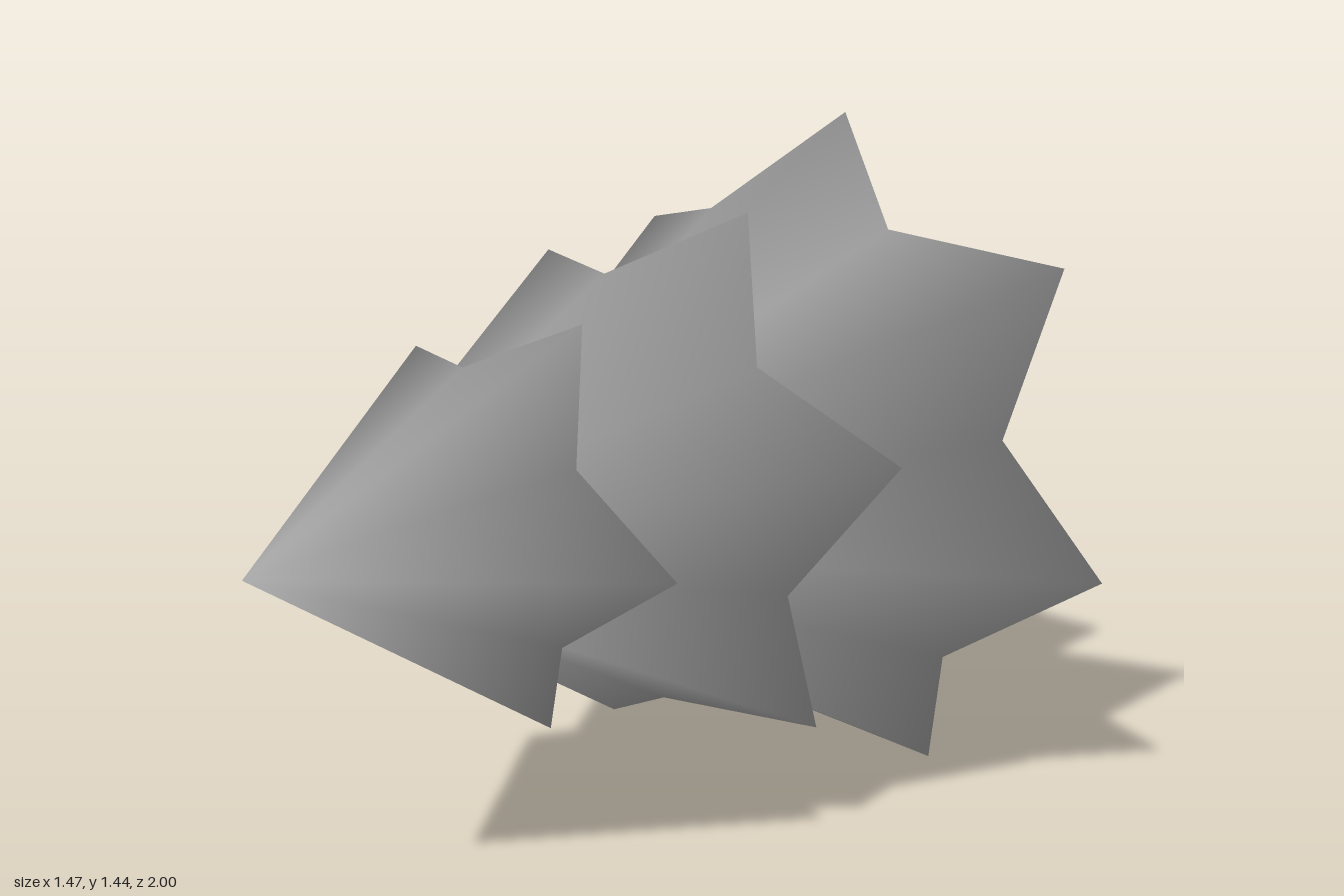
import * as THREE from 'three';

// Smooth normals, each face weighted by its corner angle
function smoothByAngle(geo) {
  const pos = geo.attributes.position, idx = geo.index.array;
  const sums = Array.from({ length: pos.count }, () => new THREE.Vector3());
  const at = i => new THREE.Vector3().fromBufferAttribute(pos, i);
  for (let f = 0; f < idx.length; f += 3) {
    for (let k = 0; k < 3; k++) {
      const p = at(idx[f + k]);
      const u = at(idx[f + (k + 1) % 3]).sub(p);
      const v = at(idx[f + (k + 2) % 3]).sub(p);
      const normal = u.clone().cross(v).normalize();
      sums[idx[f + k]].addScaledVector(normal, u.angleTo(v));
    }
  }
  geo.setAttribute('normal', new THREE.Float32BufferAttribute(
    sums.flatMap(n => n.normalize().toArray()), 3));
  return geo;
}

// Closed star-shaped cone along z: tip in front, jagged rim, hollowed underside
function starCone({ points, centre, apex, hub, tipR, tipZ, valleyR, valleyZ, angle }) {
  const [cx, cy] = centre, n = points * 2;
  const verts = [...apex, cx, cy, hub], faces = [];
  for (let i = 0; i < n; i++) {
    const a = THREE.MathUtils.degToRad(angle) + i * Math.PI / points;
    const r = i % 2 ? valleyR : tipR;
    verts.push(cx + r * Math.cos(a), cy + r * Math.sin(a), i % 2 ? valleyZ : tipZ);
    const here = 2 + i, next = 2 + (i + 1) % n;
    faces.push(0, here, next, 1, next, here);
  }
  const geo = new THREE.BufferGeometry();
  geo.setAttribute('position', new THREE.Float32BufferAttribute(verts, 3));
  geo.setIndex(faces);
  return smoothByAngle(geo);
}

export function createModel() {
  const group = new THREE.Group();
  const grey = new THREE.MeshStandardMaterial({ color: 0xc0c0c0 });
  grey.name = 'plain grey';

  const add = (name, geo) => {
    const mesh = new THREE.Mesh(geo, grey);
    mesh.name = name;
    group.add(mesh);
  };

  // Three tiers of foliage, with more points toward the trunk
  add('topFoliage', starCone({
    points: 5, centre: [0.02, 0.70], apex: [0.035, 0.70, 1], hub: 0.52,
    tipR: 0.43, tipZ: 0.36, valleyR: 0.297, valleyZ: 0.45, angle: 65,
  }));
  add('middleFoliage', starCone({
    points: 6, centre: [0.012, 0.695], apex: [0.02, 0.70, 0.87], hub: 0.14,
    tipR: 0.602, tipZ: -0.085, valleyR: 0.445, valleyZ: 0.04, angle: 71.3,
  }));
  add('bottomFoliage', starCone({
    points: 7, centre: [0, 0.69], apex: [0.01, 0.69, 0.63], hub: -0.34,
    tipR: 0.753, tipZ: -0.61, valleyR: 0.586, valleyZ: -0.455, angle: 88.5,
  }));

  // Four-sided trunk, wider at its foot
  const trunk = new THREE.CylinderGeometry(0.155, 0.271, 0.7, 4);
  trunk.rotateX(Math.PI / 2).rotateZ(Math.PI / 4 - 0.07).translate(0, 0.687, -0.65);
  add('trunk', trunk);

  return group;
}
